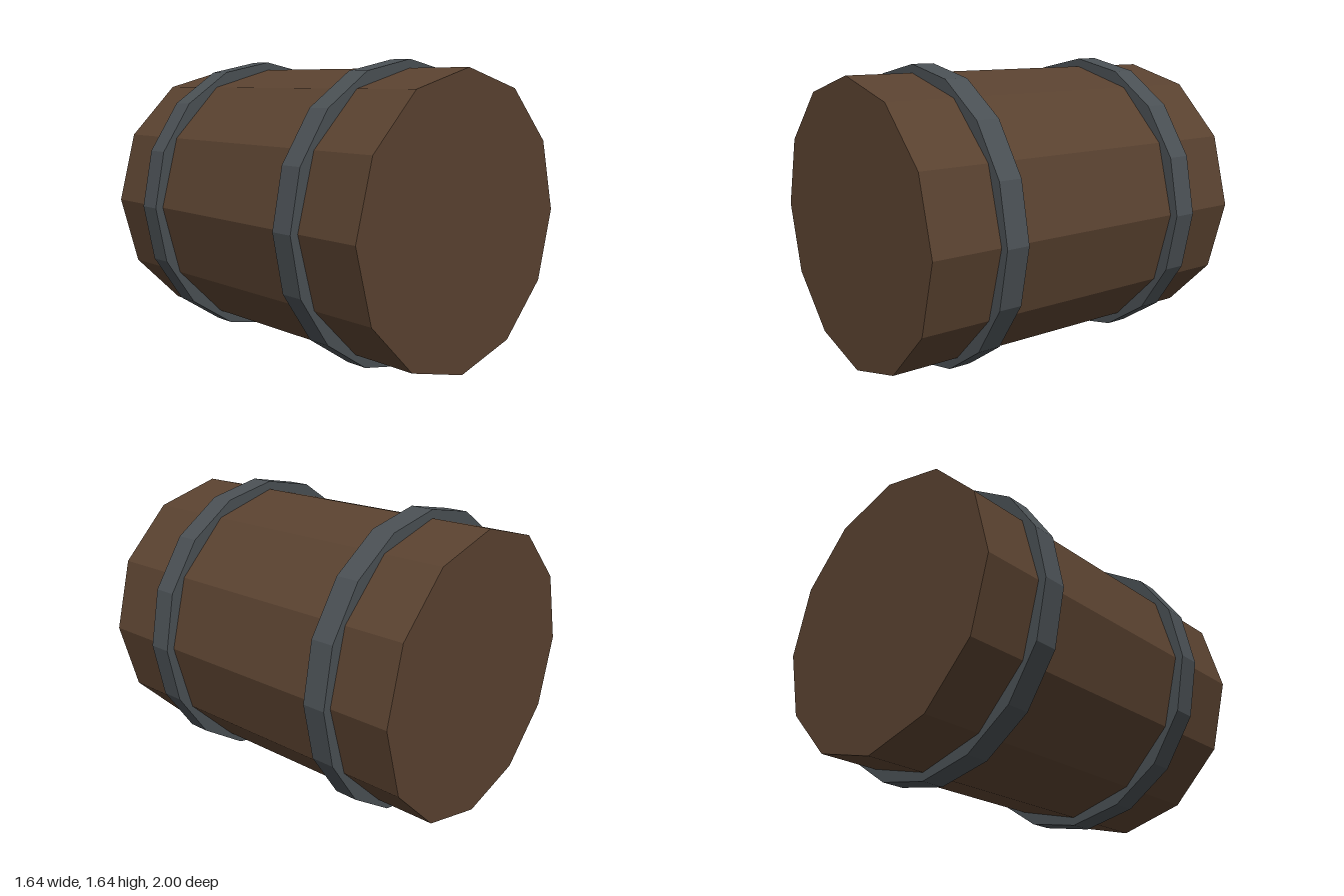
import * as THREE from 'three';

const RADIUS = 0.822; // outer radius of the hoops, which touch the ground

export function createModel() {
  const group = new THREE.Group();
  group.name = 'barrel';

  const wood = new THREE.MeshStandardMaterial({ color: 0x5a4230, flatShading: true });
  const iron = new THREE.MeshStandardMaterial({ color: 0x4a5054, flatShading: true });

  // Faceted drum lying along z, with a corner pointing straight up
  function drum(name, radius, length, sides, z, material) {
    const geometry = new THREE.CylinderGeometry(radius, radius, length, sides);
    geometry.rotateX(Math.PI / 2);
    const mesh = new THREE.Mesh(geometry, material);
    mesh.name = name;
    mesh.position.set(0, RADIUS, z);
    group.add(mesh);
  }

  // Wooden body
  drum('body', 0.776, 2, 12, 0, wood);

  // Iron hoops
  drum('frontHoop', RADIUS, 0.13, 16, 0.555, iron);
  drum('backHoop', RADIUS, 0.13, 16, -0.6, iron);

  return group;
}
